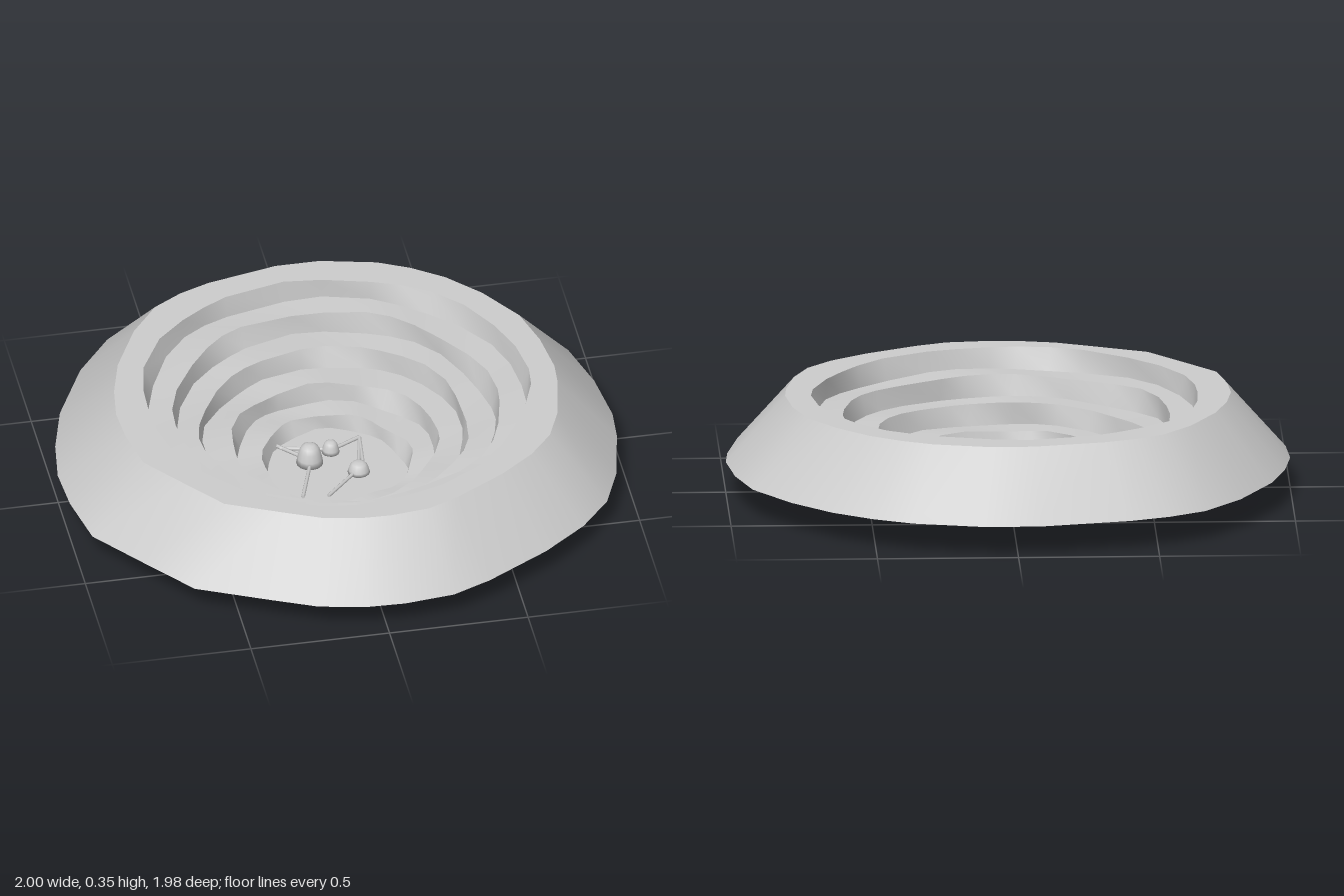
import * as THREE from 'three';

const material = new THREE.MeshStandardMaterial({ color: 0xcccccc, side: THREE.DoubleSide });

// Irregular plan outline of the mound, as x, z pairs
const OUTLINE = [
  -0.08, -0.99, 0.12, -0.99, 0.37, -0.93, 0.51, -0.86, 0.65, -0.76, 0.79, -0.61, 0.92, -0.41, 0.975, -0.21,
  1, 0, 0.99, 0.13, 0.945, 0.355, 0.88, 0.515, 0.77, 0.645, 0.61, 0.77, 0.38, 0.905, 0.24, 0.965,
  0.06, 0.985, -0.08, 0.98, -0.245, 0.945, -0.4, 0.875, -0.655, 0.755, -0.8, 0.57, -0.95, 0.375, -0.99, 0.165,
  -1, -0.01, -0.975, -0.185, -0.92, -0.38, -0.8, -0.62, -0.67, -0.785, -0.54, -0.865, -0.4, -0.92,
];
const outline = [];
for (let i = 0; i < OUTLINE.length; i += 2) outline.push([OUTLINE[i], OUTLINE[i + 1]]);

// The outline scaled to one height
const outlineRing = (scale, y) => outline.map(([x, z]) => new THREE.Vector3(x * scale, y, z * scale));

// A roughly dug ring: a circle with a wavering radius and height
function dugRing(radius, y, phase, wobble = 0.012, lift = 0) {
  return outline.map(([x, z]) => {
    const a = Math.atan2(z, x);
    const r = radius + wobble * (0.7 * Math.sin(3 * a + phase) + 0.5 * Math.sin(7 * a + phase * 2.3));
    return new THREE.Vector3(r * Math.cos(a), y + lift * Math.sin(5 * a + phase), r * Math.sin(a));
  });
}

// Closed band between two rings, smooth inside and sharp at its borders
function band(name, lower, upper) {
  const n = lower.length, index = [];
  for (let i = 0; i < n; i++) {
    const j = (i + 1) % n;
    index.push(i, n + i, j, j, n + i, n + j);
  }
  const geometry = new THREE.BufferGeometry().setFromPoints([...lower, ...upper]);
  geometry.setIndex(index);
  geometry.computeVertexNormals();
  const mesh = new THREE.Mesh(geometry, material);
  mesh.name = name;
  return mesh;
}

// Thin conveyor between two floor points
function conveyor(x1, z1, x2, z2) {
  const a = new THREE.Vector3(x1, 0.009, z1), b = new THREE.Vector3(x2, 0.012, z2);
  const mesh = new THREE.Mesh(new THREE.CylinderGeometry(0.007, 0.007, a.distanceTo(b), 6), material);
  mesh.position.copy(a).lerp(b, 0.5);
  mesh.quaternion.setFromUnitVectors(new THREE.Vector3(0, 1, 0), b.sub(a).normalize());
  mesh.name = 'conveyor';
  return mesh;
}

// Tapered heap with a rounded top
function heap(x, z, radius, height) {
  const profile = [[0, 0], [1, 0], [0.93, 0.3], [0.8, 0.65], [0.62, 0.88], [0.35, 0.98], [0, 1]]
    .map(([r, y]) => new THREE.Vector2(r * radius, y * height));
  const mesh = new THREE.Mesh(new THREE.LatheGeometry(profile, 14), material);
  mesh.position.set(x, 0.002, z);
  mesh.name = 'heap';
  return mesh;
}

export function createModel() {
  const model = new THREE.Group();
  model.name = 'openPit';

  // Sloping outer skirt, open underneath
  const rim = outlineRing(0.79, 0.35);
  model.add(band('outerSlope', outlineRing(1, 0.11), rim));

  // Terraces: a steep wall, then a bench out to the next wall
  const radii = [0.25, 0.35, 0.46, 0.565, 0.67];
  const levels = [0, 0.055, 0.125, 0.2, 0.275, 0.35];
  const feet = radii.map((r, i) => dugRing(r, levels[i], i * 1.9, 0.012, i ? 0.005 : 0));
  radii.forEach((r, i) => {
    const last = i === radii.length - 1;
    const lip = dugRing(r + 0.015, levels[i + 1], i * 1.9 + 1.1, 0.014, last ? 0 : 0.005);
    model.add(band('terraceWall', feet[i], lip));
    model.add(band(last ? 'rimTop' : 'bench', lip, last ? rim : feet[i + 1]));
  });

  // Pit floor
  model.add(band('pitFloor', feet[0].map(() => new THREE.Vector3(0, 0, 0)), feet[0]));

  // Heaps joined by conveyors
  const plant = new THREE.Group();
  plant.name = 'plant';
  plant.add(heap(-0.08, -0.065, 0.048, 0.078), heap(0.005, -0.115, 0.032, 0.045), heap(0.08, 0.022, 0.04, 0.04));
  [
    [-0.18, -0.18, -0.08, -0.065], [-0.17, -0.16, 0.005, -0.115], [-0.145, 0.145, -0.08, -0.05],
    [0.005, -0.115, 0.12, -0.17], [0.12, -0.17, 0.08, 0.02], [0.12, -0.17, 0.1, 0.01],
    [-0.055, 0.155, 0.08, 0.02],
  ].forEach((ends) => plant.add(conveyor(...ends)));
  model.add(plant);

  return model;
}
